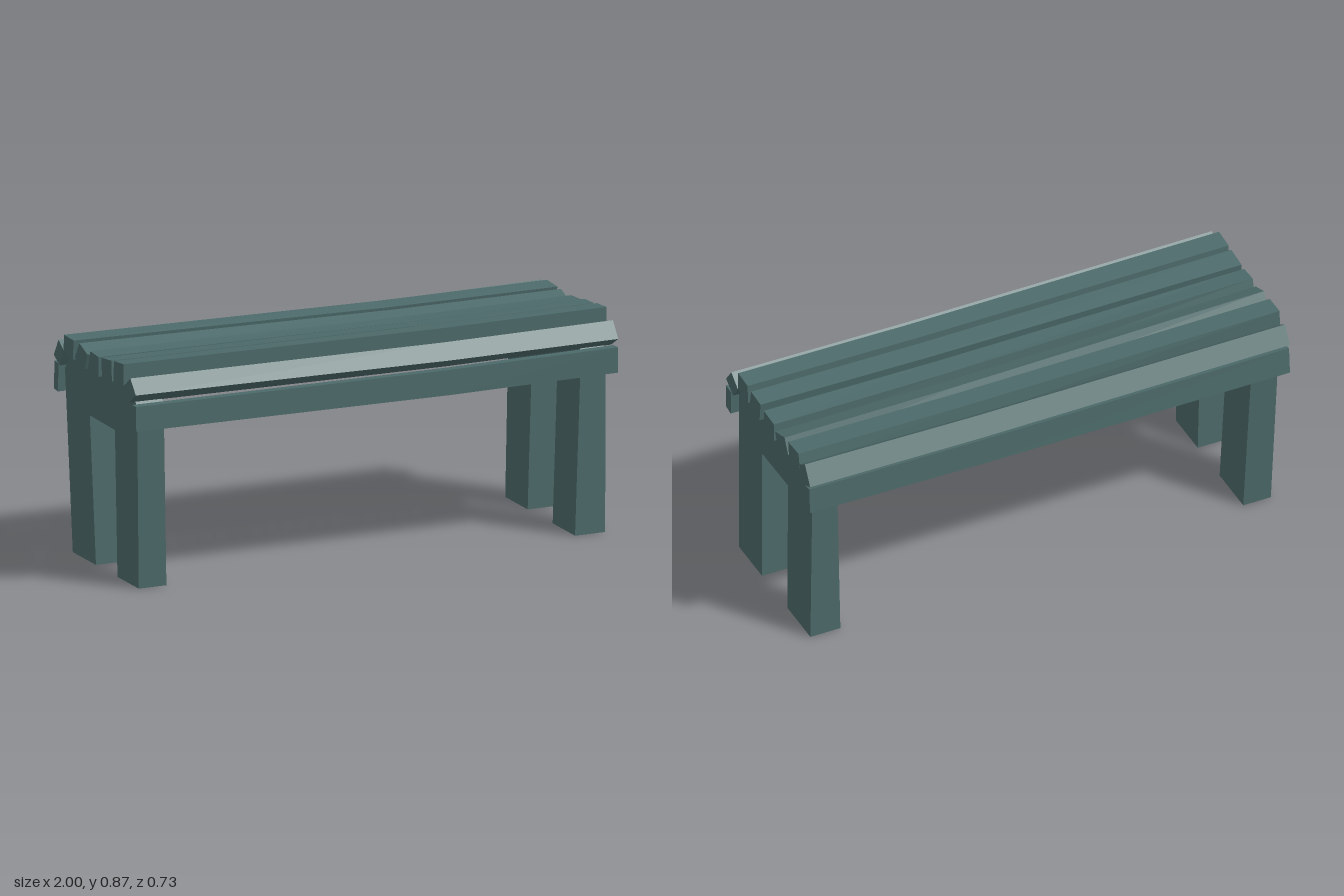
import * as THREE from 'three';

// Slat end sections as [z, y] corners, clockwise seen from +x: left end (+x), then right end (-x)
const SLATS = [
  ['frontApron', [[.364, .731], [.321, .729], [.323, .626], [.364, .632]], [[.362, .729], [.325, .728], [.322, .622], [.364, .633]]],
  ['frontCornerSlat', [[.318, .825], [.261, .782], [.302, .726], [.364, .763]], [[.312, .828], [.258, .786], [.298, .73], [.36, .773]]],
  ['seatSlat1', [[.259, .862], [.178, .857], [.174, .779], [.259, .786]], [[.25, .868], [.167, .86], [.163, .777], [.25, .786]]],
  ['seatSlat2', [[.148, .851], [.066, .846], [.075, .766], [.16, .779]], [[.144, .856], [.056, .846], [.063, .766], [.15, .776]]],
  ['seatSlat3', [[.038, .837], [-.049, .832], [-.052, .756], [.038, .761]], [[.033, .842], [-.04, .848], [-.062, .77], [.03, .765]]],
  ['seatSlat4', [[-.061, .807], [-.141, .834], [-.171, .772], [-.077, .752]], [[-.066, .828], [-.137, .855], [-.177, .79], [-.09, .765]]],
  ['seatSlat5', [[-.172, .835], [-.261, .84], [-.272, .779], [-.18, .768]], [[-.187, .853], [-.272, .855], [-.276, .79], [-.195, .777]]],
  ['backCornerSlat', [[-.268, .795], [-.316, .828], [-.362, .752], [-.307, .726]], [[-.272, .79], [-.32, .824], [-.362, .755], [-.31, .726]]],
  ['backApron', [[-.316, .731], [-.355, .736], [-.36, .628], [-.323, .628]], [[-.32, .73], [-.354, .735], [-.362, .625], [-.325, .621]]],
];

// Hand-hewn plank: three sections along x, with a slight sag at the middle one
function slatGeometry(left, right) {
  const middle = left.map(([z, y], i) => [
    THREE.MathUtils.lerp(right[i][0], z, .65),
    THREE.MathUtils.lerp(right[i][1], y, .65) - .007,
  ]);
  const points = [], index = [];
  [[-1, right], [.3, middle], [1, left]].forEach(([x, section]) => {
    section.forEach(([z, y]) => points.push(x, y, z));
  });
  for (let s = 0; s < 8; s += 4) {
    for (let i = 0; i < 4; i++) {
      const j = (i + 1) % 4;
      index.push(s + i, s + 4 + i, s + 4 + j, s + i, s + 4 + j, s + j);
    }
  }
  index.push(8, 11, 10, 8, 10, 9, 0, 1, 2, 0, 2, 3);
  const indexed = new THREE.BufferGeometry();
  indexed.setAttribute('position', new THREE.Float32BufferAttribute(points, 3));
  indexed.setIndex(index);
  const geometry = indexed.toNonIndexed();
  geometry.computeVertexNormals();
  return geometry;
}

// Arched end frame: profile in z and y, with x faces that lean from foot to top
function frameGeometry(profile, xMax, xMin) {
  const shape = new THREE.Shape(profile.map(([z, y]) => new THREE.Vector2(z, y)));
  const geometry = new THREE.ExtrudeGeometry(shape, { depth: 1, bevelEnabled: false });
  geometry.rotateY(-Math.PI / 2);
  const p = geometry.attributes.position;
  for (let i = 0; i < p.count; i++) {
    const [foot, top] = p.getX(i) > -.5 ? xMax : xMin;
    p.setX(i, THREE.MathUtils.lerp(foot, top, p.getY(i) / .78));
  }
  geometry.computeVertexNormals();
  return geometry;
}

export function createModel() {
  const group = new THREE.Group();
  const wood = new THREE.MeshStandardMaterial({ color: 0x4d6a6a });
  wood.name = 'weatheredTeal';
  const add = (name, geometry) => {
    const mesh = new THREE.Mesh(geometry, wood);
    mesh.name = name;
    group.add(mesh);
  };

  // Seat slats and aprons
  SLATS.forEach(([name, left, right]) => add(name, slatGeometry(left, right)));

  // Shared scooped top of the end frames
  const crown = [[-.32, .71], [-.262, .777], [-.12, .767], [0, .76], [.12, .773], [.255, .784], [.315, .715]];
  add('leftLegFrame', frameGeometry(
    [[.302, 0], [.105, 0], [.113, .573], [-.11, .577], [-.115, 0], [-.312, 0], ...crown],
    [.975, .97], [.85, .87]));
  add('rightLegFrame', frameGeometry(
    [[.29, 0], [.103, 0], [.112, .575], [-.109, .578], [-.086, 0], [-.29, 0], ...crown],
    [-.84, -.865], [-.955, -.975]));
  return group;
}
